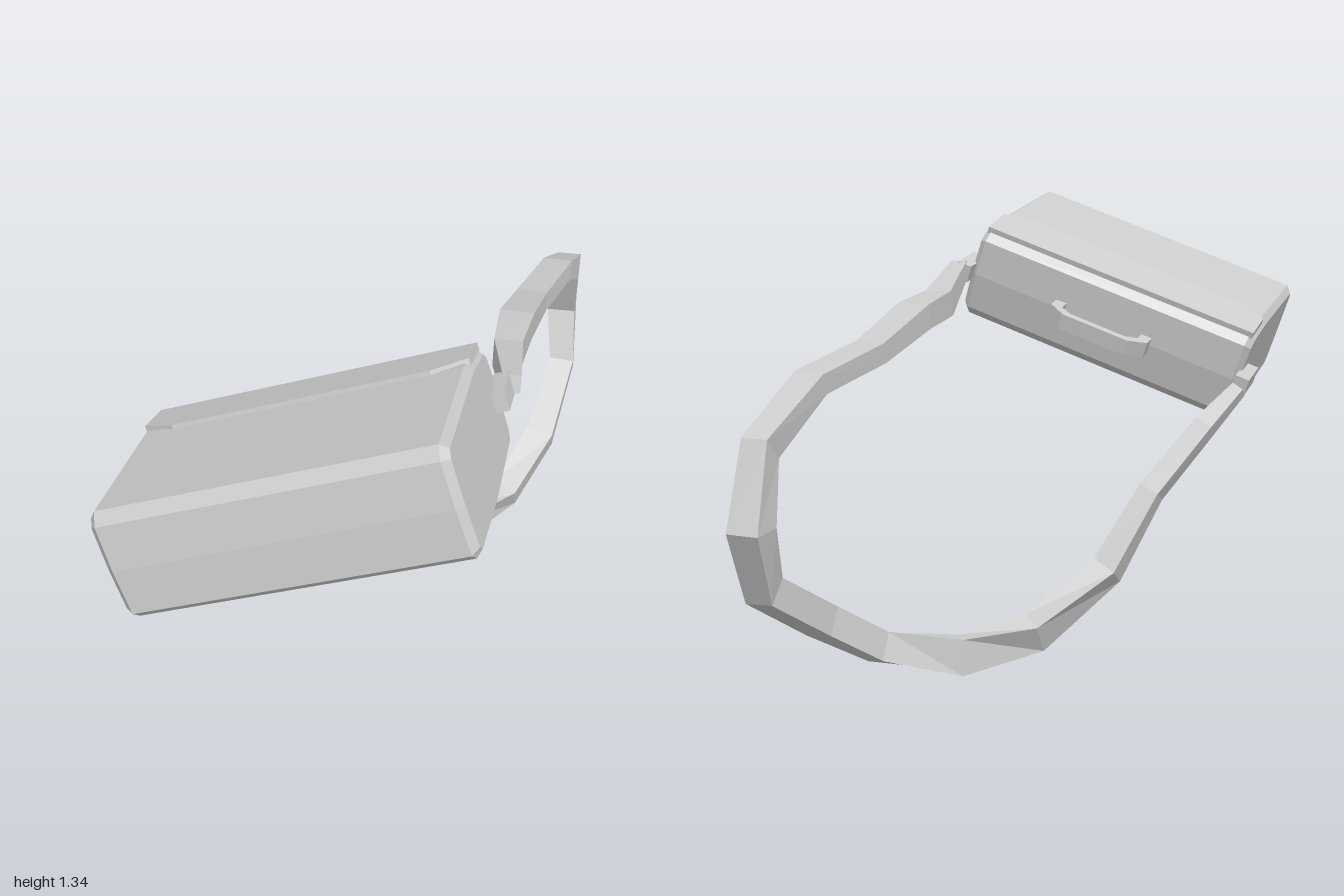
import * as THREE from 'three';

const mat = new THREE.MeshStandardMaterial({ color: 0xcccccc, flatShading: true });

function addMesh(parent, name, geometry) {
  const mesh = new THREE.Mesh(geometry, mat);
  mesh.name = name;
  parent.add(mesh);
  return mesh;
}

const shapeOf = pts => new THREE.Shape(pts.map(([x, y]) => new THREE.Vector2(x, y)));

// Rectangular band swept through stations [x, y, z, width, thickness]
function sweepBand(stations) {
  const centres = stations.map(s => new THREE.Vector3(s[0], s[1], s[2]));
  const rings = stations.map((s, i) => {
    const t = centres[Math.min(i + 1, centres.length - 1)].clone()
      .sub(centres[Math.max(i - 1, 0)]).normalize();
    const a = new THREE.Vector3(1, 0, 0);
    a.addScaledVector(t, -a.dot(t)).normalize();
    const b = new THREE.Vector3().crossVectors(t, a);
    return [[1, 1], [-1, 1], [-1, -1], [1, -1]].map(([p, q]) => centres[i].clone()
      .addScaledVector(a, p * s[3] / 2).addScaledVector(b, q * s[4] / 2));
  });
  const positions = [];
  const quad = (a, b, c, d) => [a, b, c, a, c, d].forEach(v => positions.push(v.x, v.y, v.z));
  for (let i = 0; i < rings.length - 1; i++) {
    for (let k = 0; k < 4; k++) {
      const n = (k + 1) % 4;
      quad(rings[i][k], rings[i][n], rings[i + 1][n], rings[i + 1][k]);
    }
  }
  const [s, e] = [rings[0], rings[rings.length - 1]];
  quad(s[3], s[2], s[1], s[0]);
  quad(e[0], e[1], e[2], e[3]);
  const geometry = new THREE.BufferGeometry();
  geometry.setAttribute('position', new THREE.Float32BufferAttribute(positions, 3));
  geometry.computeVertexNormals();
  return geometry;
}

export function createModel() {
  const model = new THREE.Group();
  model.name = 'shoulderBag';

  // Tilted case: local x is its length, y its thickness, -z points to the handle
  const bag = new THREE.Group();
  bag.name = 'case';
  const length = new THREE.Vector3(0.94, 0.335, -0.03).normalize();
  const depth = new THREE.Vector3(-0.02, 0.15, 0.988);
  depth.addScaledVector(length, -depth.dot(length)).normalize();
  const up = new THREE.Vector3().crossVectors(depth, length);
  bag.quaternion.setFromRotationMatrix(new THREE.Matrix4().makeBasis(length, up, depth));
  bag.position.set(-0.05, 1.0, 0.665);
  model.add(bag);

  // Body: slightly bulging end profile with chamfered ends
  const profile = shapeOf([
    [-0.28, -0.155], [-0.03, -0.163], [0.265, -0.148], [0.295, -0.118],
    [0.305, 0], [0.298, 0.115], [0.265, 0.145], [0.12, 0.162],
    [-0.28, 0.155], [-0.31, 0.125], [-0.316, 0], [-0.31, -0.13]
  ]);
  const body = new THREE.ExtrudeGeometry(profile, {
    depth: 0.89, bevelEnabled: true, bevelSegments: 1,
    bevelThickness: 0.02, bevelSize: 0.02, bevelOffset: -0.02
  });
  body.translate(0, 0, -0.445).rotateY(Math.PI / 2);
  addMesh(bag, 'body', body);

  // Closing flap with cut corners
  const flapShape = shapeOf([
    [-0.36, 0], [0.36, 0], [0.455, 0.04], [0.455, 0.165], [-0.455, 0.165], [-0.455, 0.04]
  ]);
  const flapGeometry = new THREE.ExtrudeGeometry(flapShape, { depth: 0.022, bevelEnabled: false });
  const flap = addMesh(bag, 'flap', flapGeometry.rotateX(-Math.PI / 2));
  flap.position.set(0, 0.152, -0.107);
  flap.rotation.x = -0.11;

  // Carrying handle
  const handleShape = shapeOf([
    [-0.165, 0.29], [-0.13, 0.29], [-0.13, 0.345], [-0.095, 0.37], [0.095, 0.37],
    [0.13, 0.345], [0.13, 0.29], [0.165, 0.29], [0.165, 0.355], [0.11, 0.398],
    [-0.11, 0.398], [-0.165, 0.355]
  ]);
  const handle = new THREE.ExtrudeGeometry(handleShape, { depth: 0.05, bevelEnabled: false });
  handle.translate(0, 0, -0.025).rotateX(-Math.PI / 2);
  addMesh(bag, 'handle', handle);

  // Strap tabs on both ends
  for (const side of [-1, 1]) {
    const tab = addMesh(bag, side > 0 ? 'leftTab' : 'rightTab', new THREE.BoxGeometry(0.045, 0.055, 0.13));
    tab.position.set(side * 0.478, 0.005, -0.275);
  }

  // Hanging shoulder strap
  addMesh(model, 'strap', sweepBand([
    [0.425, 1.125, 0.34, 0.05, 0.05], [0.39, 1.045, 0.08, 0.08, 0.08],
    [0.395, 1.03, -0.1, 0.1, 0.075], [0.42, 0.96, -0.35, 0.09, 0.06],
    [0.475, 0.915, -0.62, 0.09, 0.06], [0.5, 0.785, -0.865, 0.075, 0.085],
    [0.487, 0.587, -0.95, 0.09, 0.1], [0.505, 0.4, -0.865, 0.08, 0.085],
    [0.46, 0.245, -0.63, 0.09, 0.085], [0.37, 0.122, -0.46, 0.08, 0.085],
    [0.19, 0.057, -0.29, 0.065, 0.11], [0.01, 0.095, -0.13, 0.07, 0.11],
    [-0.17, 0.265, 0.02, 0.08, 0.085], [-0.275, 0.49, 0.13, 0.065, 0.065],
    [-0.41, 0.68, 0.25, 0.06, 0.055], [-0.495, 0.785, 0.33, 0.04, 0.04]
  ]));

  return model;
}
